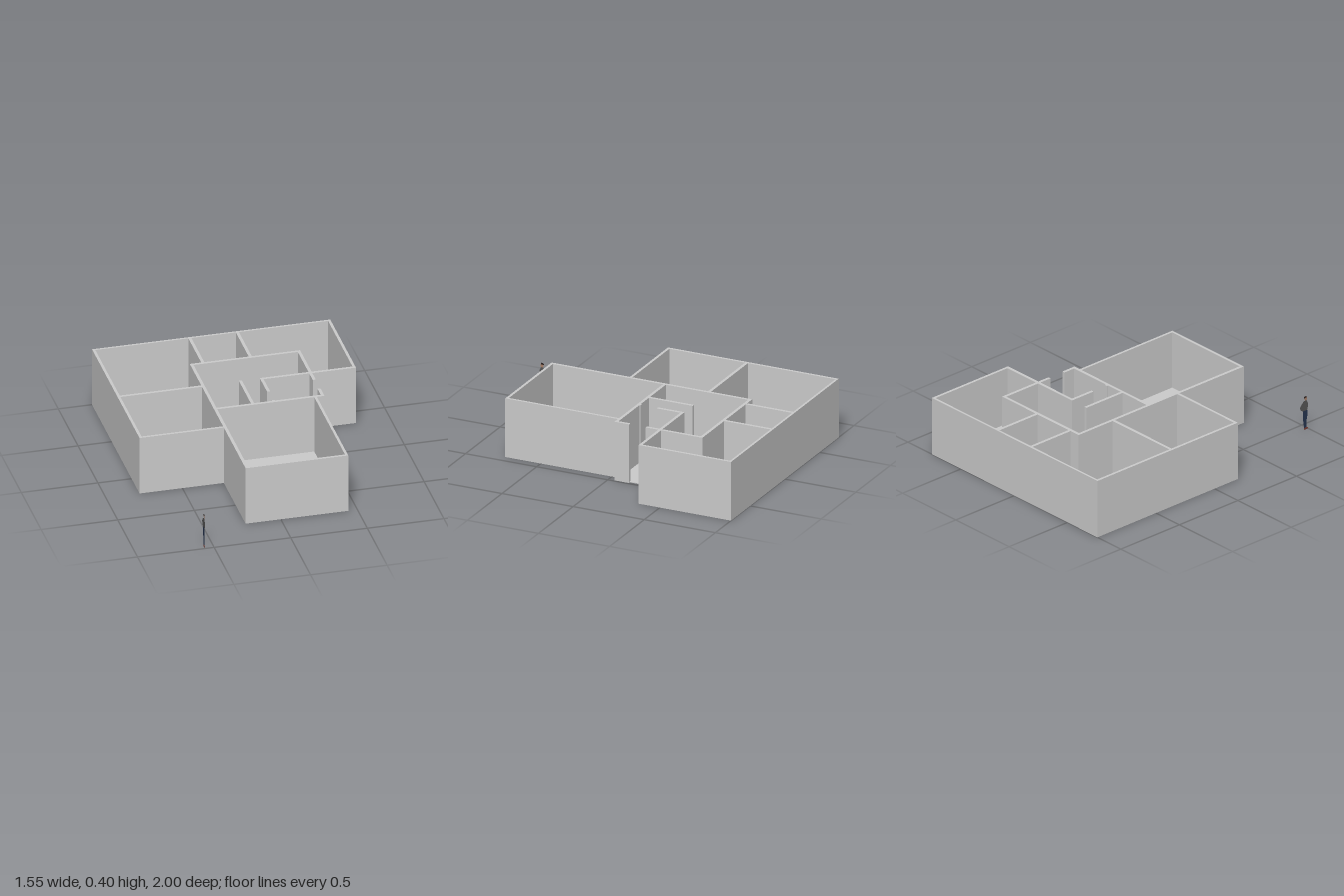
import * as THREE from 'three';

const HEIGHT = 0.4;

function closedShape(points, Type = THREE.Shape) {
  return new Type(points.map(([x, y]) => new THREE.Vector2(x, y)));
}

// Plan drawn in (x, z), extruded from y = bottom to y = top.
function extrudePlan(shape, bottom, top) {
  const geometry = new THREE.ExtrudeGeometry(shape, { depth: top - bottom, bevelEnabled: false });
  return geometry.rotateX(Math.PI / 2).translate(0, top, 0);
}

// Flat cut-out figure standing side-on; profiles are drawn in (z, y).
function createFigure() {
  const figure = new THREE.Group();
  figure.name = 'standingFigure';
  const parts = [
    ['shoes', 0x7a3f38, [[1.0, 0], [0.964, 0], [0.963, 0.012], [0.984, 0.016], [0.998, 0.009]]],
    ['trousers', 0x26344f, [[0.988, 0.013], [0.965, 0.013], [0.957, 0.07], [0.955, 0.135],
      [0.992, 0.135], [0.994, 0.1], [0.986, 0.06]]],
    ['shirt', 0x565656, [[0.992, 0.135], [0.955, 0.135], [0.94, 0.144], [0.928, 0.165],
      [0.94, 0.182], [0.958, 0.2], [0.972, 0.206], [0.986, 0.205], [0.997, 0.185], [0.998, 0.16]]],
    ['face', 0xa87f68, [[0.986, 0.205], [0.972, 0.206], [0.967, 0.222], [0.988, 0.226], [0.991, 0.215]]],
    ['hair', 0x2c2220, [[0.988, 0.226], [0.967, 0.222], [0.965, 0.231], [0.972, 0.236], [0.984, 0.236]]],
  ];
  for (const [name, color, profile] of parts) {
    const geometry = new THREE.ShapeGeometry(closedShape(profile.map(([z, y]) => [-z, y])));
    geometry.rotateY(Math.PI / 2);
    const mesh = new THREE.Mesh(geometry, new THREE.MeshStandardMaterial({ color, side: THREE.DoubleSide }));
    mesh.name = name;
    mesh.position.x = -0.56;
    figure.add(mesh);
  }
  return figure;
}

export function createModel() {
  const model = new THREE.Group();
  model.name = 'housePlan';
  const material = new THREE.MeshStandardMaterial({ color: 0xcccccc });

  // Outer outline, running in through the entrance and around the open hall
  const back = [[-0.78, -1], [0.775, -1], [0.775, -0.35], [0.49, -0.35]];
  const hall = [
    [0.49, -0.262], [0.47, -0.262], [0.47, -0.35], [0.172, -0.35], [0.172, -0.185], [0.152, -0.185],
    [0.152, -0.37], [0.47, -0.37], [0.47, -0.64], [-0.21, -0.64], [-0.21, -0.062], [0.015, -0.062],
    [0.015, -0.37], [0.035, -0.37], [0.035, -0.062], [0.152, -0.062], [0.152, -0.07], [0.172, -0.07],
    [0.172, -0.062], [0.47, -0.062], [0.47, -0.145], [0.49, -0.145],
  ];
  const front = [[0.49, -0.042], [0.44, -0.042], [0.44, 0.75], [-0.23, 0.75], [-0.23, 0.2], [-0.78, 0.2]];
  const wallPlan = closedShape([...back, ...hall, ...front]);

  // Enclosed rooms
  const rooms = [
    [[-0.762, -0.985], [-0.155, -0.985], [-0.155, -0.66], [-0.23, -0.66], [-0.23, -0.37], [-0.762, -0.37]],
    [[-0.762, -0.35], [-0.23, -0.35], [-0.23, 0.182], [-0.762, 0.182]],
    [[-0.135, -0.985], [0.155, -0.985], [0.155, -0.66], [-0.135, -0.66]],
    [[0.175, -0.985], [0.757, -0.985], [0.757, -0.37], [0.49, -0.37], [0.49, -0.66], [0.175, -0.66]],
    [[-0.21, -0.042], [0.423, -0.042], [0.423, 0.732], [-0.21, 0.732]],
  ];
  for (const room of rooms) wallPlan.holes.push(closedShape(room, THREE.Path));

  const walls = new THREE.Mesh(extrudePlan(wallPlan, 0, HEIGHT), material);
  walls.name = 'walls';
  model.add(walls);

  // Thin floor slab, its edges buried in the walls
  const floorPlan = closedShape([
    [-0.77, -0.99], [0.766, -0.99], [0.766, -0.36], [0.485, -0.36], [0.485, -0.05], [0.43, -0.05],
    [0.43, 0.74], [-0.22, 0.74], [-0.22, 0.19], [-0.77, 0.19],
  ]);
  const floor = new THREE.Mesh(extrudePlan(floorPlan, 0.003, 0.008), material);
  floor.name = 'floor';
  model.add(floor);

  model.add(createFigure());
  return model;
}
